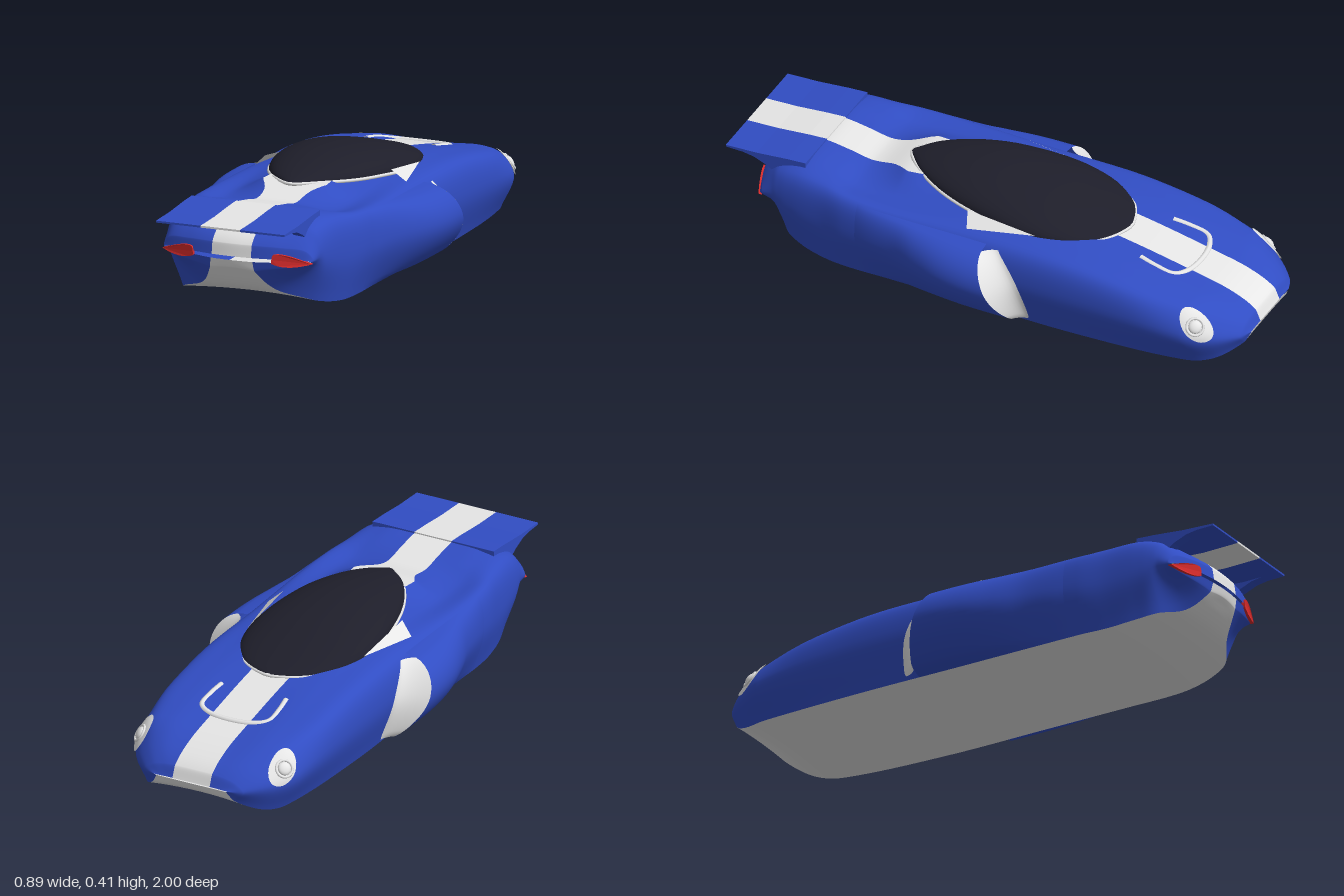
import * as THREE from 'three';

const mat = (name, color) => new THREE.MeshStandardMaterial({ name, color, side: THREE.DoubleSide });

// Smooth lookup in a table of rows [z, a, b, ...]
function sample(rows, z) {
  const n = rows.length - 1;
  z = THREE.MathUtils.clamp(z, rows[0][0], rows[n][0]);
  let i = 0;
  while (i < n - 1 && z > rows[i + 1][0]) i++;
  const a = rows[i], b = rows[i + 1], h = b[0] - a[0], t = (z - a[0]) / h;
  const slope = (j, k) => {
    const p = rows[Math.max(j - 1, 0)], q = rows[Math.min(j + 1, n)];
    return (q[k] - p[k]) / (q[0] - p[0]);
  };
  return a.map((_, k) => k === 0 ? z :
    (2 * t ** 3 - 3 * t * t + 1) * a[k] + (t ** 3 - 2 * t * t + t) * h * slope(i, k) +
    (3 * t * t - 2 * t ** 3) * b[k] + (t ** 3 - t * t) * h * slope(i + 1, k));
}

// Body stations: z, half width, top, deck, shoulder, widest height, bottom, bottom half width
const STATIONS = [
  [-1, .15, .102, .102, .101, .1, .098, .14],
  [-.98, .2, .145, .14, .128, .1, .06, .165],
  [-.9, .28, .19, .188, .165, .11, .012, .235],
  [-.8, .325, .22, .225, .205, .125, 0, .275],
  [-.4, .345, .303, .298, .275, .16, 0, .3],
  [0, .345, .345, .32, .29, .17, .006, .3],
  [.35, .35, .354, .305, .3, .18, .012, .3],
  [.5, .34, .325, .305, .308, .18, .014, .3],
  [.6, .322, .342, .335, .315, .18, .018, .29],
  [.7, .31, .355, .35, .32, .19, .035, .27],
  [.78, .298, .335, .335, .31, .2, .06, .23],
  [.84, .29, .31, .31, .295, .21, .095, .14],
  [.9, .285, .265, .262, .25, .212, .17, .085],
  [.908, .28, .22, .22, .218, .214, .206, .08],
];
const STRIPE = 0.075, STEPS = 7;
const ROWS = (STATIONS.length - 1) * STEPS;
const bow = (x, z) => z - 0.75 * x * x * THREE.MathUtils.smoothstep(z, .74, .9);
// The stripe flares where it meets the back of the canopy
const stripeHalf = z => STRIPE + .05 * Math.exp(-(((z - .33) / .07) ** 2));

// Lengthwise position, evenly divided between stations
function zAt(v) {
  const k = Math.round(v * ROWS), i = Math.min(Math.floor(k / STEPS), STATIONS.length - 2);
  return THREE.MathUtils.lerp(STATIONS[i][0], STATIONS[i + 1][0], k / STEPS - i);
}

// Point on the painted flank: s = 0 stripe edge, .5 shoulder, .75 widest, 1 sill
function flank(s, z) {
  const [, w, top, deck, sh, mid, bot, wb] = sample(STATIONS, z);
  const shoulder = .84 + .08 * THREE.MathUtils.smoothstep(z, -.9, -.6);
  const curve = new THREE.CatmullRomCurve3([
    [stripeHalf(z), top], [.62 * w, deck], [shoulder * w, sh], [w, mid], [wb, bot],
  ].map(([x, y]) => new THREE.Vector3(x, y, 0)));
  const p = curve.getPoint(s);
  return p.setZ(bow(p.x, z));
}

// Flank point pushed outwards by d
function raised(s, z, d) {
  const p = flank(s, z);
  const n = flank(s + .02, z).sub(flank(s - .02, z)).cross(flank(s, z + .01).sub(flank(s, z - .01))).normalize();
  if (n.x < 0) n.negate();
  return p.addScaledVector(n, d);
}

// Smooth surface from f(u, v) with u and v in 0..1
function grid(f, nu, nv, flip = false) {
  const pos = [], idx = [];
  for (let j = 0; j <= nv; j++) for (let i = 0; i <= nu; i++) pos.push(...f(i / nu, j / nv).toArray());
  for (let j = 0; j < nv; j++) for (let i = 0; i < nu; i++) {
    const a = j * (nu + 1) + i, b = a + 1, c = a + nu + 1, d = c + 1;
    idx.push(...(flip ? [a, b, c, b, d, c] : [a, c, b, b, c, d]));
  }
  const g = new THREE.BufferGeometry();
  g.setAttribute('position', new THREE.Float32BufferAttribute(pos, 3));
  g.setIndex(idx);
  g.computeVertexNormals();
  return g;
}

// Canopy table: z, half width, crown height, edge height
const CANOPY = [
  [-.46, .012, .303, .298], [-.44, .075, .31, .299], [-.4, .135, .322, .3], [-.3, .207, .352, .302],
  [-.15, .238, .39, .31], [.05, .214, .411, .33], [.2, .166, .403, .343], [.32, .092, .382, .355],
  [.39, .012, .362, .358],
];

export function createModel() {
  const car = new THREE.Group();
  car.name = 'raceCar';
  const blue = mat('bluePaint', 0x314dc3), pale = mat('paleGrey', 0xe6e6e6);
  const glass = mat('darkGlass', 0x1e1e2a), red = mat('redLamp', 0xdc2c2c);
  const add = (name, geo, material, parent = car) => {
    const m = new THREE.Mesh(geo, material);
    m.name = name;
    parent.add(m);
    return m;
  };
  const V = (x, y, z) => new THREE.Vector3(x, y, z);
  const outline = points => new THREE.Shape(points.map(p => new THREE.Vector2(...p)));

  // Centre stripe and underside
  add('centreStripe', grid((u, v) => {
    const z = zAt(v), x = (u * 2 - 1) * stripeHalf(z);
    return V(x, sample(STATIONS, z)[2], bow(x, z));
  }, 4, ROWS), pale);
  add('underside', grid((u, v) => {
    const z = zAt(v), s = sample(STATIONS, z), k = u * 2 - 1, x = k * s[7];
    const arch = .012 * THREE.MathUtils.smoothstep(s[2] - s[6], .02, .15);
    return V(x, s[6] + arch * (1 - k * k), bow(x, z));
  }, 10, ROWS, true), pale);

  // Canopy and its rim
  add('canopy', grid((u, v) => {
    const k = .5 - .5 * Math.cos(v * Math.PI);
    const [z, w, top, edge] = sample(CANOPY, -.46 + .85 * k), a = Math.PI * (1 - u);
    return V(w * Math.cos(a), edge + (top - edge) * Math.sin(a), z);
  }, 24, 36), glass);
  const rim = [1, -1].flatMap(side => {
    const list = CANOPY.map(([z, w, , e]) => V(side * w, e - .003, z));
    return side > 0 ? list : list.reverse();
  });
  add('canopyRim', new THREE.TubeGeometry(new THREE.CatmullRomCurve3(rim, true), 100, .006, 6, true), pale);

  // Horseshoe duct on the nose
  const arm = [[.13, -.56], [.138, -.62], [.135, -.69], [.09, -.72]];
  const duct = [...arm.map(([x, z]) => [-x, z]), [0, -.732], ...arm.reverse()];
  add('noseDuct', new THREE.TubeGeometry(new THREE.CatmullRomCurve3(
    duct.map(([x, z]) => V(x, sample(STATIONS, z)[2] - .003, z))), 48, .011, 8), pale);

  // Rear wing in three strips
  const wing = outline([[.69, .36], [.76, .357], [.88, .348], [1, .345], [1, .338], [.86, .333], [.69, .34]]);
  const strip = (shape, x0, x1) =>
    new THREE.ExtrudeGeometry(shape, { depth: x1 - x0, bevelEnabled: false }).rotateY(-Math.PI / 2).translate(x1, 0, 0);
  add('wingLeft', strip(wing, STRIPE, .245), blue);
  add('wingStripe', strip(wing, -STRIPE, STRIPE), pale);
  add('wingRight', strip(wing, -.245, -STRIPE), blue);

  // Outlines of the wing support and the tail lamp
  const support = outline([[.7, .352], [.97, .342], [.89, .328], [.84, .307], [.8, .28], [.7, .27]]);
  const lamp = new THREE.Shape();
  lamp.moveTo(.15, .205);
  lamp.quadraticCurveTo(.148, .225, .155, .237);
  lamp.quadraticCurveTo(.185, .249, .285, .207);
  lamp.quadraticCurveTo(.2, .182, .15, .205);

  // Side pod bulge and its slanted intake line
  const BULGE = [[-.25, .09], [-.1, .1], [0, .1], [.1, .086], [.2, .056], [.3, .022], [.45, 0]];
  const mouthZ = s => -.155 + (THREE.MathUtils.clamp(flank(s, 0).y, .03, .28) - .04) / .22 * .095;
  const bulge = (s, z) => sample(BULGE, z)[1] * Math.sqrt(Math.max(0, Math.sin((s - .5) * 2 * Math.PI)));

  for (const side of [1, -1]) {
    const half = new THREE.Group();
    half.name = side > 0 ? 'leftSide' : 'rightSide';
    car.add(half);
    const surf = (name, f, nu, nv, m) =>
      add(name, grid((u, v) => { const p = f(u, v); p.x *= side; return p; }, nu, nv, side < 0), m, half);

    surf('flank', (u, v) => flank(u, zAt(v)), 28, ROWS, blue);
    surf('sidePod', (u, v) => {
      const s = .5 + u / 2, z0 = mouthZ(s), z = z0 + (.45 - z0) * v, p = flank(s, z);
      p.x += bulge(s, z);
      return p;
    }, 24, 24, blue);
    surf('sideIntake', (u, v) => {
      const s = .52 + u * .46, z0 = mouthZ(s), reach = .05 + .035 * Math.sin(u * Math.PI);
      const z = z0 - reach * (1 - v), p = flank(s, z);
      p.x += .003 + (bulge(s, z0) - .003) * v * v;
      return p;
    }, 24, 8, pale);

    // Recess beside the canopy
    surf('cockpitVent', (u, v) => V(.234 + v * .006 * (1 - u) + u * v * .055,
      .316 + .036 * v - .044 * u * v, -.2 + .26 * v - .02 * u * v), 4, 10, pale);

    // Headlight socket, ring and lens
    surf('headlightSocket', (u, v) => {
      const a = u * Math.PI * 2;
      return raised(.59 + .17 * v * Math.sin(a), -.85 + v * (.052 * Math.cos(a) - .026 * Math.sin(a)), .005);
    }, 32, 6, pale);
    const c = raised(.61, -.85, .004), out = raised(.61, -.85, 1);
    const light = new THREE.Group();
    light.name = 'headlight';
    light.position.set(c.x * side, c.y, c.z);
    light.lookAt(out.x * side, out.y, out.z);
    half.add(light);
    add('headlightRing', new THREE.TorusGeometry(.03, .005, 8, 28), pale, light);
    add('headlightLens', new THREE.SphereGeometry(.024, 20, 12), pale, light).scale.z = .5;

    // Wing support blending the tail into the wing
    add('wingSupport', strip(support, side * .225 - .02, side * .225 + .02), blue, half);

    // Tail lamp, swept forward at its outer end
    const g = new THREE.ExtrudeGeometry(lamp, { depth: .014, bevelEnabled: false, curveSegments: 10 });
    const p = g.attributes.position;
    for (let i = 0; i < p.count; i++) {
      const x = p.getX(i);
      p.setXYZ(i, side * x, p.getY(i), p.getZ(i) + .9 - .75 * x * x);
    }
    g.computeVertexNormals();
    add('tailLamp', g, red, half);
  }
  return car;
}
